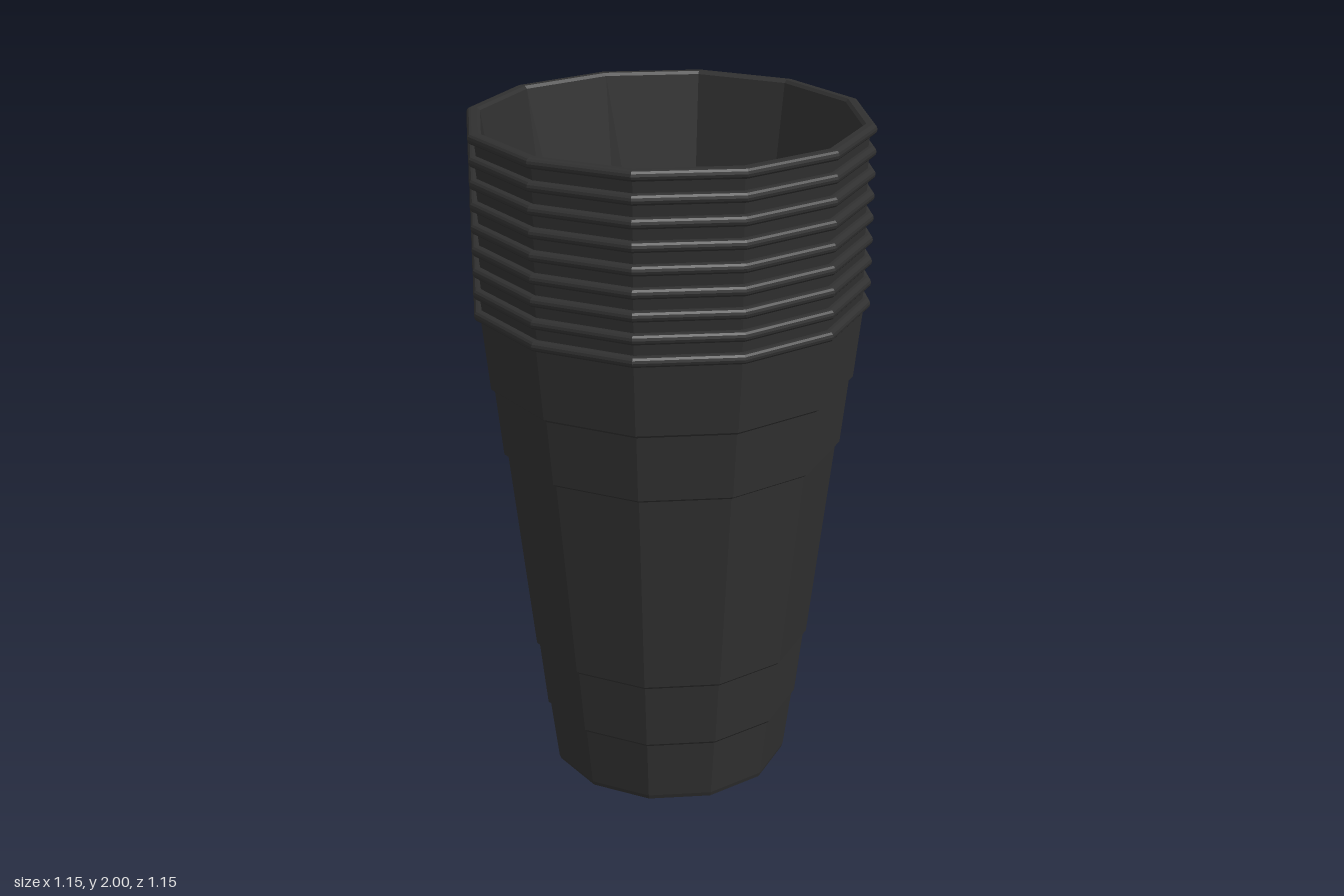
import * as THREE from 'three';

const SIDES = 12;
const CUPS = 9;
const CUP_HEIGHT = 1.498;
const SPACING = (2 - CUP_HEIGHT) / (CUPS - 1);

// One closed cross-section: base, stepped outer wall, rolled rim, plain inner wall, floor
function cupProfile() {
  const points = [[0, 0], [0.345, 0], [0.355, 0.006], [0.36, 0.02]];

  // Each step: height, radius below the ledge, radius above it
  const steps = [[0.21, 0.383, 0.391], [0.42, 0.413, 0.422], [1.05, 0.491, 0.503], [1.255, 0.524, 0.535]];
  for (const [y, below, above] of steps) points.push([below, y - 0.004], [above, y + 0.005]);
  points.push([0.557, CUP_HEIGHT - 0.03]);

  // Rolled rim
  const rimY = CUP_HEIGHT - 0.015;
  for (let i = 0; i <= 6; i++) {
    const a = -Math.PI / 2 + (i / 6) * Math.PI;
    points.push([0.563 + 0.013 * Math.cos(a), rimY + 0.015 * Math.sin(a)]);
  }
  points.push([0.545, CUP_HEIGHT], [0.537, CUP_HEIGHT - 0.008]);

  // Inner wall and floor
  points.push([0.323, 0.03], [0.316, 0.02], [0, 0.02]);
  return points.map(([r, y]) => new THREE.Vector2(r, y));
}

export function createModel() {
  const model = new THREE.Group();
  model.name = 'cupStack';
  const plastic = new THREE.MeshStandardMaterial({ color: 0x303030, flatShading: true });
  const geometry = new THREE.LatheGeometry(cupProfile(), SIDES);

  // Nested cups, each raised by one rim spacing
  for (let i = 0; i < CUPS; i++) {
    const cup = new THREE.Mesh(geometry, plastic);
    cup.name = `cup${i + 1}`;
    cup.position.y = i * SPACING;
    model.add(cup);
  }
  return model;
}
